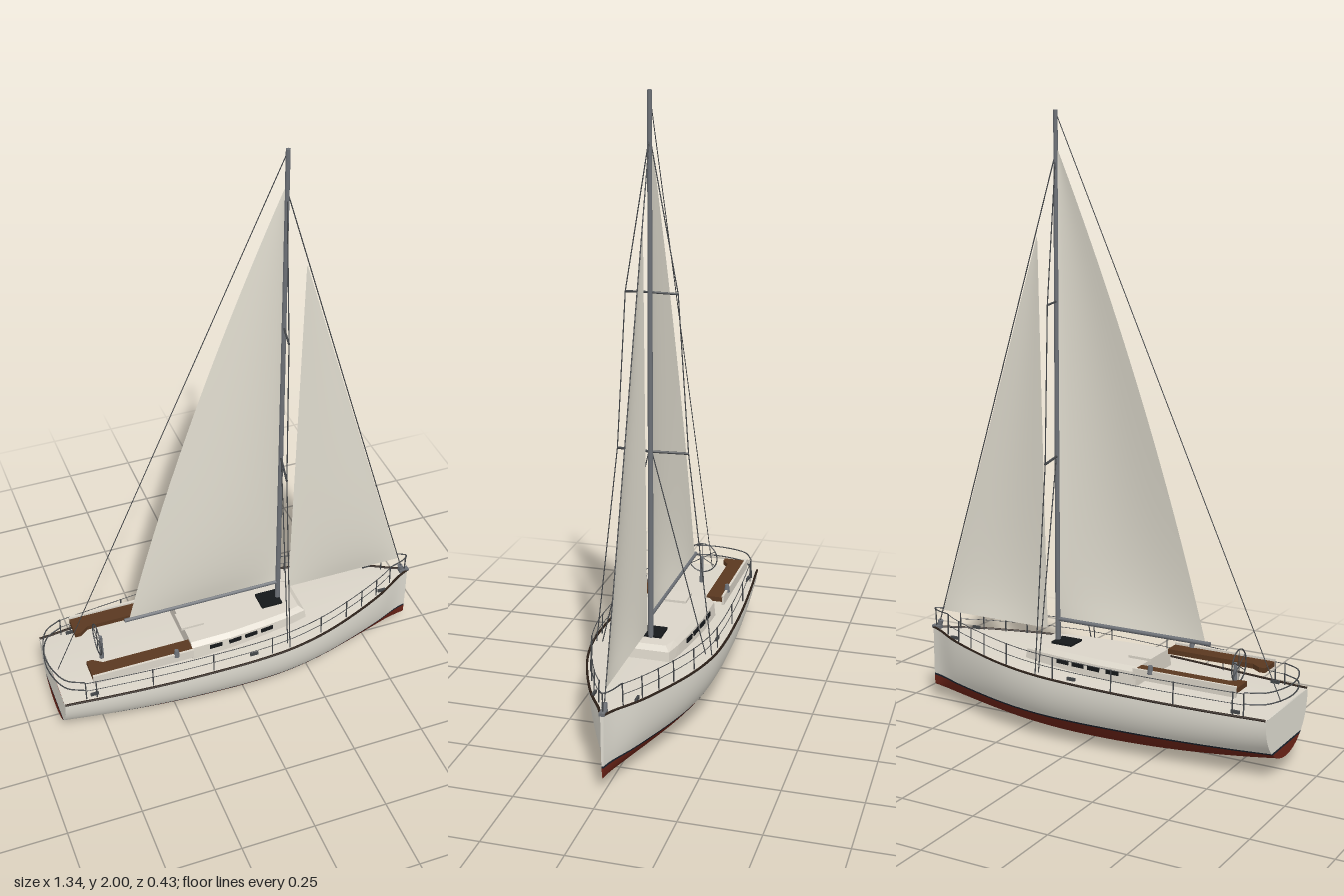
import * as THREE from 'three';
import { ConvexGeometry } from 'three/addons/geometries/ConvexGeometry.js';

const mat = (name, color, double) => {
  const m = new THREE.MeshStandardMaterial({ color });
  m.name = name;
  if (double) m.side = THREE.DoubleSide;
  return m;
};

export function createModel() {
  const boat = new THREE.Group();
  boat.name = 'sailboat';
  const M = {
    hull: mat('hullWhite', 0xe0ddd2, true),
    deck: mat('deckCream', 0xdad4c8, true),
    sail: mat('sailCloth', 0xdedacd, true),
    red: mat('bottomRed', 0x6e2418, true),
    navy: mat('stripeNavy', 0x1c2430, true),
    teak: mat('teak', 0x5a3820),
    rail: mat('railBrown', 0x2c2018),
    black: mat('glassBlack', 0x15181a),
    spar: mat('sparGrey', 0x6c7076),
    steel: mat('steelDark', 0x44474a),
  };
  const V = (x, y, z) => new THREE.Vector3(x, y, z);
  const add = (name, geo, material, parent = boat) => {
    const m = new THREE.Mesh(geo, material);
    m.name = name;
    parent.add(m);
    return m;
  };
  const box = (name, w, h, d, x, y, z, material) => {
    const m = add(name, new THREE.BoxGeometry(w, h, d), material);
    m.position.set(x, y, z);
    return m;
  };
  // Straight round bar between two points
  const rod = (name, a, b, r, material, sides = 6, r2 = r) => {
    const m = add(name, new THREE.CylinderGeometry(r2, r, a.distanceTo(b), sides), material);
    m.position.copy(a).lerp(b, 0.5);
    m.quaternion.setFromUnitVectors(V(0, 1, 0), b.clone().sub(a).normalize());
    return m;
  };
  const tube = (name, pts, r, material, n = 48) =>
    add(name, new THREE.TubeGeometry(new THREE.CatmullRomCurve3(pts), n, r, 6), material);
  // Smooth surface from a function of u, v in 0..1
  const surface = (name, fn, nu, nv, material) => {
    const pos = [], idx = [];
    for (let i = 0; i <= nu; i++)
      for (let j = 0; j <= nv; j++) pos.push(...fn(i / nu, j / nv));
    for (let i = 0; i < nu; i++)
      for (let j = 0; j < nv; j++) {
        const a = i * (nv + 1) + j, b = a + nv + 1;
        idx.push(a, b, a + 1, b, b + 1, a + 1);
      }
    const g = new THREE.BufferGeometry();
    g.setAttribute('position', new THREE.Float32BufferAttribute(pos, 3));
    g.setIndex(idx);
    g.computeVertexNormals();
    return add(name, g, material);
  };

  // Hull lines
  const X0 = -0.65, LEN = 1.315;
  const widths = [0.165, 0.178, 0.19, 0.2, 0.206, 0.209, 0.203, 0.178, 0.134, 0.077, 0.005];
  const beamCurve = new THREE.SplineCurve(widths.map((w, i) => new THREE.Vector2(i, w)));
  const along = (x) => THREE.MathUtils.clamp((x - X0) / LEN, 0, 1);
  const beam = (x) => beamCurve.getPoint(along(x)).y;
  const sheer = (x) => 0.21 + 0.045 * along(x) ** 1.5;
  const keel = (x) => 0.05 * (x / 0.66) ** 2;
  const half = (x, y) => {
    const v = THREE.MathUtils.clamp((y - keel(x)) / (sheer(x) - keel(x)), 0, 1);
    return beam(x) * Math.sqrt(1 - (1 - v) ** 2.2);
  };

  // Hull in three colour bands, with matching transom bands
  const bands = [
    ['bottom', keel, () => 0.084, 14, M.red],
    ['bootStripe', () => 0.084, () => 0.091, 1, M.navy],
    ['topsides', () => 0.091, sheer, 10, M.hull],
  ];
  for (const [name, lo, hi, n, material] of bands) {
    const yAt = (x, t) => lo(x) + (hi(x) - lo(x)) * (name === 'bottom' ? t * t : t);
    for (const s of [1, -1])
      surface(name, (u, v) => {
        const x = X0 + LEN * u, y = yAt(x, v);
        return [x, y, s * half(x, y)];
      }, 56, n, material);
    surface(name + 'Transom', (u, v) => {
      const y = yAt(X0, v);
      return [X0, y, (2 * u - 1) * half(X0, y)];
    }, 2, n, material);
    surface(name + 'Stem', (u, v) => {
      const y = yAt(X0 + LEN, v);
      return [X0 + LEN, y, (2 * u - 1) * half(X0 + LEN, y)];
    }, 1, n, material);
  }
  surface('deck', (u, v) => {
    const x = X0 + LEN * u, k = 2 * v - 1;
    return [x, sheer(x) + 0.03 * beam(x) * (1 - k * k), k * beam(x)];
  }, 56, 8, M.deck);

  // Point on the deck edge, inset and raised
  const edge = (x, s, inset = 0, up = 0) =>
    V(x, sheer(x) + up, s * Math.max(beam(x) - inset, 0.004));

  // Cabin trunk
  const cabin = [[-0.19, 0.125], [-0.05, 0.123], [0.08, 0.111], [0.17, 0.1], [0.245, 0.086]];
  const cabinPts = [];
  cabin.forEach(([x, w], i) => {
    const f = i === cabin.length - 1 ? 1 : 0;
    for (const s of [1, -1])
      cabinPts.push(V(x, 0.205, s * w), V(x - 0.01 * f, 0.27, s * (w - 0.007)),
        V(x - 0.028 * f, 0.284, s * (w - 0.022)));
  });
  add('cabin', new ConvexGeometry(cabinPts), M.deck);
  const cabinHalf = (x) => {
    const i = Math.max(1, cabin.findIndex((c) => c[0] >= x));
    const [[xa, wa], [xb, wb]] = [cabin[i - 1], cabin[i]];
    return wa + (wb - wa) * (x - xa) / (xb - xa);
  };
  for (const s of [1, -1])
    for (const x of [-0.105, -0.035, 0.025, 0.085]) {
      const win = box('cabinWindow', 0.045, 0.014, 0.006, x, 0.256, s * (cabinHalf(x) - 0.005), M.black);
      win.rotation.y = s * Math.atan2(cabinHalf(x - 0.01) - cabinHalf(x + 0.01), 0.02);
    }
  box('foreHatch', 0.075, 0.008, 0.07, 0.132, 0.287, 0, M.black);
  box('companionHatch', 0.08, 0.01, 0.075, -0.16, 0.287, 0, M.deck);

  for (const s of [1, -1]) {
    // Cockpit seat and coaming
    const seat = new THREE.Shape([[-0.545, 0.145], [-0.195, 0.145], [-0.195, 0.09], [-0.495, 0.09],
      [-0.525, 0.068], [-0.545, 0.068]].map(([x, z]) => new THREE.Vector2(x, s * z)));
    const g = new THREE.ExtrudeGeometry(seat, { depth: 0.016, bevelEnabled: false });
    add('cockpitSeat', g.rotateX(Math.PI / 2).translate(0, 0.288, 0), M.teak);
    box('coaming', 0.35, 0.034, 0.008, -0.37, 0.278, s * 0.147, M.deck);
    rod('winch', V(-0.255, 0.285, s * 0.147), V(-0.255, 0.312, s * 0.147), 0.01, M.spar, 12, 0.007);

    // Toe rail
    const line = (inset, up, a, b) => Array.from({ length: 30 }, (_, i) => edge(a + (b - a) * i / 29, s, inset, up));
    tube('toeRail', line(0, 0.002, X0, 0.663), 0.004, M.rail, 60);

    // Stanchions and lifelines
    for (const x of [-0.575, -0.54, -0.35, -0.14, 0.07, 0.26, 0.37, 0.44, 0.51, 0.58])
      rod('stanchion', edge(x, s, 0.012), edge(x, s, 0.014, 0.072), 0.0022, M.steel);
    tube('upperLifeline', line(0.014, 0.07, -0.575, 0.58), 0.0013, M.steel);
    tube('lowerLifeline', line(0.013, 0.036, -0.575, 0.58), 0.0011, M.steel);

    // Deck cleats
    for (const [x, z] of [[-0.545, 0.153], [0.01, 0.18], [0.535, 0.067]])
      box('cleat', 0.028, 0.01, 0.007, x, sheer(x) + 0.007, s * z, M.steel);

    // Spreaders and shrouds
    const chain = edge(0.135, s, 0.01), low = V(0.14, 0.9, s * 0.115), high = V(0.148, 1.4, s * 0.083);
    rod('lowerSpreader', V(0.165, 0.905, 0), low, 0.004, M.steel);
    rod('upperSpreader', V(0.165, 1.405, 0), high, 0.0035, M.steel);
    rod('capShroud', chain, low, 0.0018, M.steel);
    rod('capShroud', low, high, 0.0018, M.steel);
    rod('capShroud', high, V(0.165, 1.87, 0), 0.0018, M.steel);
    rod('lowerShroud', edge(0.135, s, 0.03), V(0.165, 0.9, s * 0.006), 0.0018, M.steel);
  }

  // Stern and bow rails
  for (const up of [0.072, 0.036])
    tube('sternRail', [V(-0.575, 0.212 + up, -0.157), V(-0.635, 0.211 + up, -0.12), V(-0.668, 0.21 + up, 0),
      V(-0.635, 0.211 + up, 0.12), V(-0.575, 0.212 + up, 0.157)], 0.0022, M.steel);
  tube('bowRail', [edge(0.58, 1, 0.014, 0.072), V(0.64, 0.323, 0.016), V(0.66, 0.324, 0),
    V(0.64, 0.323, -0.016), edge(0.58, -1, 0.014, 0.072)], 0.0022, M.steel);
  rod('bowRailPost', V(0.655, 0.255, 0), V(0.658, 0.323, 0), 0.0022, M.steel);
  box('bowFitting', 0.035, 0.01, 0.018, 0.652, 0.259, 0, M.spar);
  rod('furlerDrum', V(0.642, 0.268, 0), V(0.637, 0.284, 0), 0.009, M.spar, 12);

  // Steering wheel and pedestal
  rod('pedestal', V(-0.475, 0.21, 0), V(-0.475, 0.315, 0), 0.008, M.spar, 12, 0.006);
  const wheel = new THREE.Group();
  wheel.name = 'steeringWheel';
  boat.add(wheel);
  add('wheelRim', new THREE.TorusGeometry(0.053, 0.0022, 6, 32), M.steel, wheel);
  for (let i = 0; i < 3; i++)
    add('wheelSpoke', new THREE.CylinderGeometry(0.0014, 0.0014, 0.106, 5), M.steel, wheel).rotation.z = i * Math.PI / 3;
  wheel.rotation.y = Math.PI / 2;
  wheel.position.set(-0.487, 0.306, 0);

  // Mast, boom and stays
  rod('mast', V(0.165, 0.275, 0), V(0.165, 2, 0), 0.009, M.spar, 14, 0.007);
  rod('boom', V(0.16, 0.36, 0), V(-0.388, 0.36, 0), 0.007, M.spar, 12);
  rod('backstay', V(0.163, 1.99, 0), V(-0.63, 0.213, 0), 0.0014, M.steel);
  rod('forestay', V(0.168, 1.86, 0), V(0.64, 0.28, 0), 0.0018, M.steel);

  // Sails: luff and leech lines joined by a cambered sheet
  const sail = (name, luff, leech, camber) => surface(name, (u, v) => {
    const a = luff(v), b = leech(v);
    const belly = Math.sin(Math.PI * u ** 0.8) * (1 - Math.exp(-v * 9)) * (1 - v);
    return [a[0] + (b[0] - a[0]) * u, a[1] + (b[1] - a[1]) * u, camber * belly];
  }, 20, 36, M.sail);
  sail('mainsail', (v) => [0.158, 0.367 + 1.508 * v],
    (v) => [-0.37 + 0.526 * v - 0.13 * v * (1 - v), 0.367 + 1.508 * v], 0.045);
  sail('jib', (v) => [0.624 - 0.386 * v, 0.322 + 1.283 * v],
    (v) => [0.205 + 0.03 * v, 0.322 + 1.283 * v], 0.035);

  return boat;
}
